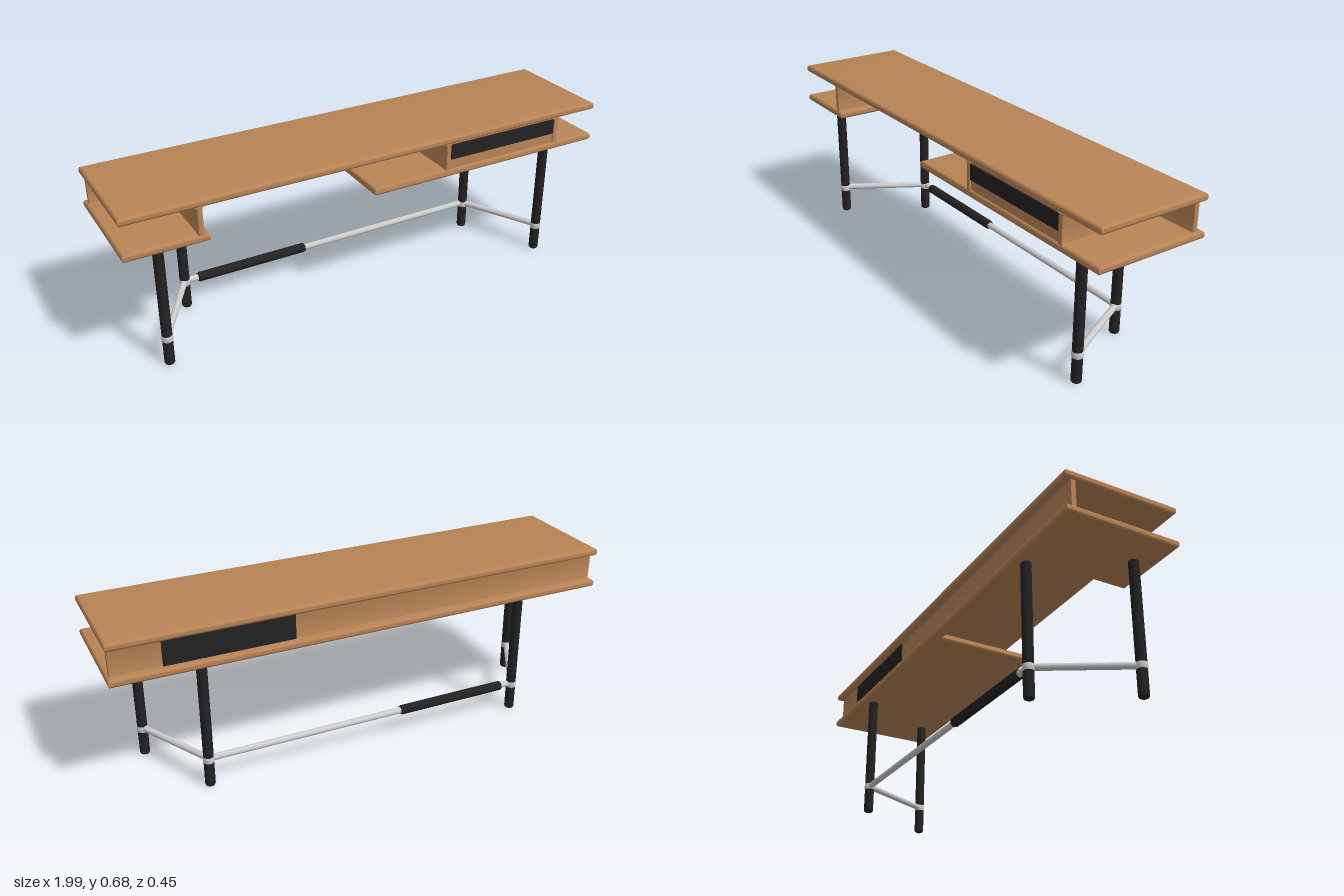
import * as THREE from 'three';
import { toCreasedNormals } from 'three/addons/utils/BufferGeometryUtils.js';

const wood = new THREE.MeshStandardMaterial({ name: 'wood', color: 0xb88455 });
const black = new THREE.MeshStandardMaterial({ name: 'black', color: 0x222222 });
const metal = new THREE.MeshStandardMaterial({ name: 'metal', color: 0xcccccc });

// Heights of the two boards and the gap between them
const TOP = 0.678, GAP_TOP = 0.648, GAP_LOW = 0.543, BOARD = 0.03;
const BACK = -0.225, FRONT = 0.225, LEFT = -1, RIGHT = 0.99;

export function createModel() {
  const model = new THREE.Group();
  model.name = 'desk';

  function add(name, geometry, material, x = 0, y = 0, z = 0) {
    const mesh = new THREE.Mesh(geometry, material);
    mesh.name = name;
    mesh.position.set(x, y, z);
    model.add(mesh);
    return mesh;
  }

  // Board with rounded edges, outlined in x and z
  function board(name, outline, topY) {
    const r = 0.011;
    const shape = new THREE.Shape(outline.map(([x, z]) => new THREE.Vector2(x, z)));
    const geo = new THREE.ExtrudeGeometry(shape, {
      depth: BOARD - 2 * r, bevelThickness: r, bevelSize: r, bevelOffset: -r, bevelSegments: 4,
    });
    geo.rotateX(Math.PI / 2);
    add(name, toCreasedNormals(geo, 0.6), wood, 0, topY - r, 0);
  }

  // Upright panel that flares into the boards above and below; runs along z
  function panelGeometry(thickness, length) {
    const t = thickness / 2, h = (GAP_TOP - GAP_LOW) / 2 + 0.002, f = 0.009;
    const s = new THREE.Shape();
    s.moveTo(-t - f, -h);
    s.lineTo(t + f, -h);
    s.quadraticCurveTo(t, -h, t, -h + f);
    s.lineTo(t, h - f);
    s.quadraticCurveTo(t, h, t + f, h);
    s.lineTo(-t - f, h);
    s.quadraticCurveTo(-t, h, -t, h - f);
    s.lineTo(-t, -h + f);
    s.quadraticCurveTo(-t, -h, -t - f, -h);
    const geo = new THREE.ExtrudeGeometry(s, { depth: length, bevelEnabled: false, curveSegments: 5 });
    return toCreasedNormals(geo.translate(0, 0, -length / 2), 0.6);
  }

  // Straight round bar between two points
  function bar(name, a, b, radius, material) {
    const dir = b.clone().sub(a);
    const mesh = add(name, new THREE.CylinderGeometry(radius, radius, dir.length(), 20), material);
    mesh.position.copy(a).add(b).multiplyScalar(0.5);
    mesh.quaternion.setFromUnitVectors(new THREE.Vector3(0, 1, 0), dir.normalize());
  }

  // Table top, and lower board with the knee space cut out of its front
  board('tableTop', [[LEFT, BACK], [RIGHT, BACK], [RIGHT, FRONT], [LEFT, FRONT]], TOP);
  board('lowerBoard', [
    [LEFT, BACK], [RIGHT, BACK], [RIGHT, FRONT], [-0.04, FRONT],
    [-0.04, -0.18], [-0.69, -0.18], [-0.69, FRONT], [LEFT, FRONT],
  ], GAP_LOW);

  // Back panel and the three dividers
  const midY = (GAP_TOP + GAP_LOW) / 2;
  add('backPanel', panelGeometry(0.018, 1.97), wood, -0.005, midY, -0.189).rotation.y = Math.PI / 2;
  for (const x of [-0.72, 0.285, 0.8]) {
    add('divider', panelGeometry(0.018, 0.405), wood, x, midY, 0.0215);
  }

  // Closed compartment with dark grilles front and back
  add('compartment', new THREE.BoxGeometry(0.5, 0.105, 0.4), wood, 0.5425, midY, 0.018);
  add('frontGrille', new THREE.BoxGeometry(0.49, 0.06, 0.008), black, 0.5425, 0.615, 0.221);
  add('backGrille', new THREE.BoxGeometry(0.49, 0.101, 0.008), black, 0.55, midY, -0.199);

  // Legs with rounded feet, and metal collars where the bars meet them
  const R = 0.0195, BAR_Y = 0.117;
  const legProfile = [[0, 0], [0.012, 0], [0.017, 0.003], [R, 0.009], [R, 0.515]]
    .map(([r, y]) => new THREE.Vector2(r, y));
  const collarProfile = [[0.018, -0.014], [0.0208, -0.011], [0.0215, 0], [0.0208, 0.011], [0.018, 0.014]]
    .map(([r, y]) => new THREE.Vector2(r, y));
  const legGeo = new THREE.LatheGeometry(legProfile, 24);
  const collarGeo = new THREE.LatheGeometry(collarProfile, 24);
  const feet = {
    frontRight: [-0.855, 0.142], backRight: [-0.668, -0.175],
    frontLeft: [0.818, 0.142], backLeft: [0.655, -0.175],
  };
  const joint = {};
  for (const [key, [x, z]] of Object.entries(feet)) {
    add(key + 'Leg', legGeo, black, x, 0, z);
    add(key + 'Collar', collarGeo, metal, x, BAR_Y - 0.003, z);
    joint[key] = new THREE.Vector3(x, BAR_Y, z);
  }

  // Stretcher bars and the padded foot rest
  bar('rightStretcher', joint.frontRight, joint.backRight, 0.0125, metal);
  bar('leftStretcher', joint.frontLeft, joint.backLeft, 0.0125, metal);
  bar('longStretcher', joint.backRight, joint.backLeft, 0.0125, metal);
  const sleeve = [[0.012, -0.235], [0.016, -0.235], [0.019, -0.229], [0.019, 0.229], [0.016, 0.235], [0.012, 0.235]]
    .map(([r, y]) => new THREE.Vector2(r, y));
  add('footRestSleeve', new THREE.LatheGeometry(sleeve, 20), black, -0.378, BAR_Y, -0.175).rotation.z = Math.PI / 2;

  return model;
}
